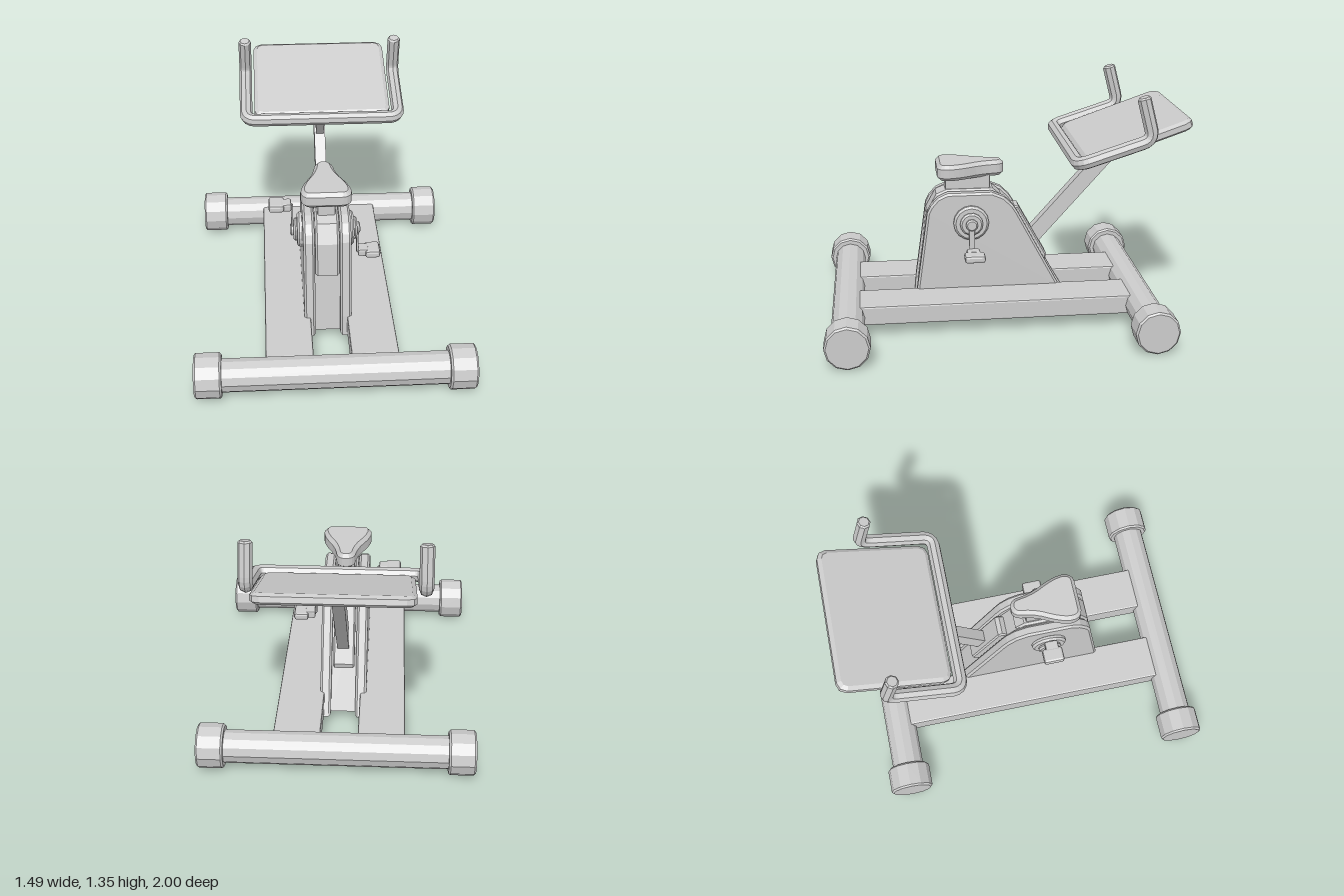
import * as THREE from 'three';
import { RoundedBoxGeometry } from 'three/addons/geometries/RoundedBoxGeometry.js';

const mat = new THREE.MeshStandardMaterial({ color: 0xcccccc, flatShading: true });
const V = (x, y, z) => new THREE.Vector3(x, y, z);
const MID = -0.017; // the body sits slightly off centre

export function createModel() {
  const model = new THREE.Group();

  function add(name, geo, x = 0, y = 0, z = 0) {
    const mesh = new THREE.Mesh(geo, mat);
    mesh.name = name;
    mesh.position.set(x, y, z);
    model.add(mesh);
    return mesh;
  }

  const box = (name, w, h, d, x, y, z, r = 0.01) =>
    add(name, new RoundedBoxGeometry(w, h, d, 1, r), x, y, z);

  // Round bar lying along x, with softened rims
  function rod(name, r, x0, x1, y, z, sides, bevel = 0.01) {
    const h = Math.abs(x1 - x0) / 2;
    const profile = [[0, -h], [r - bevel, -h], [r, -h + bevel], [r, h - bevel], [r - bevel, h], [0, h]]
      .map(p => new THREE.Vector2(...p));
    const geo = new THREE.LatheGeometry(profile, sides);
    geo.rotateZ(Math.PI / 2);
    return add(name, geo, (x0 + x1) / 2, y, z);
  }

  // Side outline of [z, y] points, extruded across x
  function slab(name, points, x0, x1, bevel) {
    const shape = new THREE.Shape(points.map(([z, y]) => new THREE.Vector2(-z, y)));
    const geo = new THREE.ExtrudeGeometry(shape, {
      depth: x1 - x0 - 2 * bevel, bevelEnabled: bevel > 0, bevelThickness: bevel,
      bevelSize: bevel, bevelOffset: -bevel, bevelSegments: 1
    });
    geo.rotateY(Math.PI / 2);
    return add(name, geo, x0 + bevel, 0, 0);
  }

  // Square beam between two [z, y] points
  function beam(name, w, thick, [z0, y0], [z1, y1]) {
    const mesh = add(name, new THREE.BoxGeometry(w, thick, Math.hypot(z1 - z0, y1 - y0)),
      MID + 0.005, (y0 + y1) / 2, (z0 + z1) / 2);
    mesh.rotation.x = -Math.atan2(y1 - y0, z1 - z0);
    return mesh;
  }

  // Base: two cross bars with end caps, joined by two rails
  for (const [end, z] of [['front', 0.88], ['rear', -0.76]]) {
    rod(end + 'CrossBar', 0.09, -0.62, 0.62, 0.12, z, 12);
    for (const s of [-1, 1]) rod(end + 'EndCap', 0.122, s * 0.6, s * 0.745, 0.122, z, 12);
  }
  box('rightRail', 0.255, 0.11, 1.54, -0.24, 0.125, 0.05);
  box('leftRail', 0.255, 0.11, 1.54, 0.217, 0.125, 0.05);

  // Body: two side plates around a recessed core
  const outline = [[0.5, 0.06], [0.49, 0.18], [0.425, 0.63], [0.405, 0.67], [0.365, 0.715], [0.31, 0.74],
    [0.06, 0.74], [-0.01, 0.71], [-0.06, 0.66], [-0.085, 0.62], [-0.32, 0.18], [-0.39, 0.06]];
  for (const s of [-1, 1]) {
    const c = MID + s * 0.1;
    slab('sidePlate', outline, c - 0.031, c + 0.031, 0.012);
  }
  slab('bodyCore', [[0.45, 0.065], [0.39, 0.62], [0.3, 0.71], [0.02, 0.71], [-0.06, 0.6], [-0.34, 0.065]],
    MID - 0.075, MID + 0.075, 0);
  slab('frontShroud', [[0.4, 0.41], [0.445, 0.43], [0.425, 0.62], [0.37, 0.72], [0.31, 0.745],
    [0.05, 0.745], [0.0, 0.7], [0.2, 0.45]], MID - 0.066, MID + 0.066, 0.012);
  slab('rearPad', [[-0.075, 0.635], [-0.1, 0.63], [-0.262, 0.335], [-0.255, 0.305], [-0.2, 0.3], [-0.03, 0.6]],
    MID - 0.06, MID + 0.06, 0.008);

  // Seat: narrow nose towards the rear of the frame
  box('seatPost', 0.098, 0.14, 0.255, MID, 0.76, 0.19);
  const s = new THREE.Shape();
  s.moveTo(-0.09, -0.365);
  s.lineTo(0.09, -0.365);
  s.quadraticCurveTo(0.138, -0.36, 0.138, -0.3);
  s.quadraticCurveTo(0.135, -0.25, 0.1, -0.18);
  s.quadraticCurveTo(0.06, -0.11, 0.052, -0.03);
  s.quadraticCurveTo(0.045, 0.015, 0, 0.017);
  s.quadraticCurveTo(-0.045, 0.015, -0.052, -0.03);
  s.quadraticCurveTo(-0.06, -0.11, -0.1, -0.18);
  s.quadraticCurveTo(-0.135, -0.25, -0.138, -0.3);
  s.quadraticCurveTo(-0.138, -0.36, -0.09, -0.365);
  const seat = new THREE.ExtrudeGeometry(s, {
    depth: 0.05, bevelThickness: 0.02, bevelSize: 0.02, bevelOffset: -0.02, bevelSegments: 1, curveSegments: 4
  });
  seat.rotateX(-Math.PI / 2);
  add('seat', seat, MID, 0.832, 0);

  // Cranks and pedals, one down and one up
  for (const side of [1, -1]) {
    const at = d => MID + side * d;
    const y = 0.57, z = 0.18, py = y - side * 0.16;
    rod('crankCover', 0.1, at(0.12), at(0.158), y, z, 16, 0.012);
    rod('crankRing', 0.065, at(0.15), at(0.178), y, z, 14);
    rod('crankHub', 0.034, at(0.17), at(0.197), y, z, 12, 0.008);
    box('crankArm', 0.012, 0.16, 0.032, at(0.184), y - side * 0.08, z, 0.004);
    box('pedalSpindle', 0.06, 0.046, 0.075, at(0.217), py + side * 0.003, z - 0.005, 0.01);
    box('pedal', 0.085, 0.044, 0.115, at(0.27), py, z - 0.008, 0.014);
  }

  // Support arm and brace
  beam('supportArm', 0.065, 0.088, [-0.14, 0.39], [-0.75, 1.075]);
  beam('armBrace', 0.045, 0.05, [-0.36, 0.99], [-0.52, 0.81]);

  // Sloping desk with a bevelled top
  const w = 0.4, d = 0.31, c = 0.05;
  const deskShape = new THREE.Shape([[-w + c, -d], [w - c, -d], [w - 0.015, -d + 0.015], [w, -d + c], [w, d - c],
    [w - 0.015, d - 0.015], [w - c, d], [-w + c, d], [-w + 0.015, d - 0.015], [-w, d - c], [-w, -d + c],
    [-w + 0.015, -d + 0.015]].map(p => new THREE.Vector2(...p)));
  const deskGeo = new THREE.ExtrudeGeometry(deskShape, {
    depth: 0.03, bevelThickness: 0.014, bevelSize: 0.022, bevelOffset: -0.022, bevelSegments: 1
  });
  deskGeo.translate(0, 0, -0.015);
  deskGeo.rotateX(-Math.PI / 2 + 0.335);
  add('desk', deskGeo, 0.002, 1.075, -0.703);

  // Handlebar: one bent tube around the desk
  const pts = [V(-0.445, 1.33, -0.705), V(-0.447, 1.108, -0.763), V(-0.447, 0.982, -0.367),
    V(0.447, 0.982, -0.367), V(0.447, 1.108, -0.763), V(0.445, 1.33, -0.705)];
  const path = new THREE.CurvePath();
  let from = pts[0];
  for (let i = 1; i < pts.length - 1; i++) {
    const toward = q => pts[i].clone().add(q.clone().sub(pts[i]).setLength(0.06));
    const a = toward(pts[i - 1]), b = toward(pts[i + 1]);
    path.add(new THREE.LineCurve3(from, a));
    path.add(new THREE.QuadraticBezierCurve3(a, pts[i], b));
    from = b;
  }
  path.add(new THREE.LineCurve3(from, pts[5]));
  add('handlebar', new THREE.TubeGeometry(path, 110, 0.037, 8));
  for (const [tip, base] of [[pts[0], pts[1]], [pts[5], pts[4]]]) {
    const cap = add('gripEnd', new THREE.CylinderGeometry(0.028, 0.037, 0.01, 8), tip.x, tip.y + 0.004, tip.z);
    cap.quaternion.setFromUnitVectors(V(0, 1, 0), tip.clone().sub(base).normalize());
  }

  return model;
}
